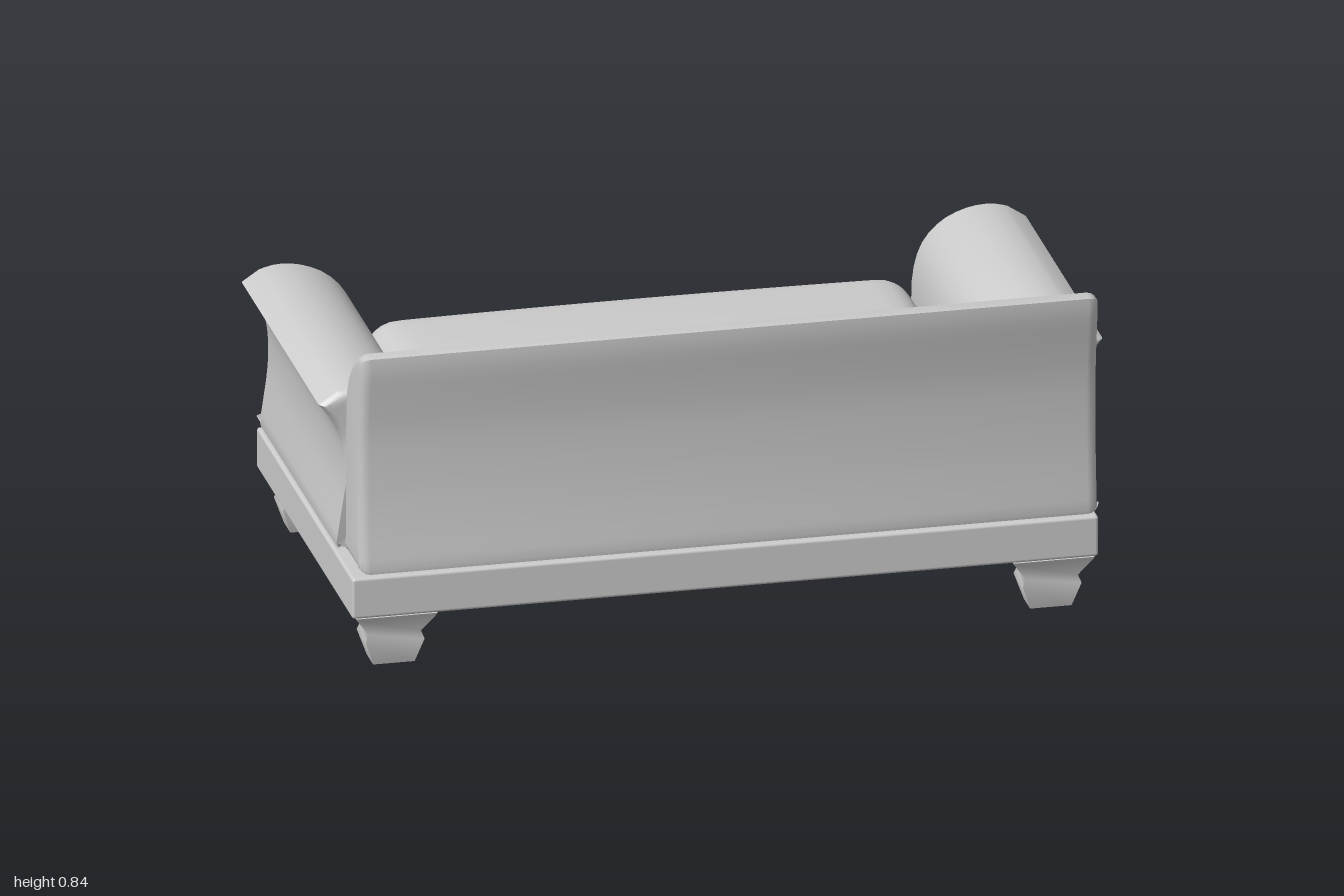
import * as THREE from 'three';
import { mergeVertices, toCreasedNormals } from 'three/addons/utils/BufferGeometryUtils.js';
import { RoundedBoxGeometry } from 'three/addons/geometries/RoundedBoxGeometry.js';

const material = new THREE.MeshStandardMaterial({ color: 0xcccccc });
const CENTRE = -0.008;

function add(parent, name, geometry) {
  const mesh = new THREE.Mesh(geometry, material);
  mesh.name = name;
  parent.add(mesh);
  return mesh;
}

// Scrolled upholstery: two smooth curves meeting at a flared lip, extruded with soft ends
function scroll(inner, outer, from, to, bevel, flip = 1) {
  const curve = (pts) => new THREE.SplineCurve(pts.map(([x, y]) => new THREE.Vector2(x * flip, y))).getPoints(20);
  const shape = new THREE.Shape([...curve(inner), ...curve(outer)]);
  const geometry = new THREE.ExtrudeGeometry(shape, {
    depth: to - from - 2 * bevel, bevelEnabled: true, bevelThickness: bevel,
    bevelSize: bevel, bevelOffset: -bevel, bevelSegments: 4, steps: 1,
  });
  geometry.translate(0, 0, from + bevel);
  return toCreasedNormals(geometry, 1.0);
}

// Plump cushion: box grid dense at its edges, rounded off and slightly crowned
function cushion(w, h, d, radius, crown) {
  const geometry = new THREE.BoxGeometry(2, 2, 2, 28, 16, 28);
  geometry.deleteAttribute('normal');
  geometry.deleteAttribute('uv');
  const welded = mergeVertices(geometry);
  const pos = welded.attributes.position;
  const half = new THREE.Vector3(w / 2, h / 2, d / 2);
  const core = half.clone().subScalar(radius);
  const p = new THREE.Vector3();
  const inside = new THREE.Vector3();
  for (let i = 0; i < pos.count; i++) {
    p.fromBufferAttribute(pos, i);
    p.set(...p.toArray().map((v) => Math.sin(v * Math.PI / 2))).multiply(half);
    inside.copy(p).clamp(core.clone().negate(), core);
    p.sub(inside).setLength(radius).add(inside);
    const u = p.x / half.x, v = p.z / half.z;
    if (p.y > 0) p.y += crown * (1 - u * u) * (1 - v * v) * p.y / half.y;
    pos.setXYZ(i, p.x, p.y, p.z);
  }
  welded.computeVertexNormals();
  return welded;
}

export function createModel() {
  const sofa = new THREE.Group();
  sofa.name = 'sofa';

  // Base frame
  add(sofa, 'baseFrame', new RoundedBoxGeometry(1.904, 0.108, 1.06, 3, 0.008))
    .position.set(CENTRE, 0.192, -0.002);

  // Tapered four-sided feet with a waist
  const profile = [[0, 0], [0.053, 0], [0.075, 0.064], [0.067, 0.084], [0.102, 0.134], [0.104, 0.138], [0, 0.138]]
    .map(([r, y]) => new THREE.Vector2(r * Math.SQRT2, y));
  for (const sx of [-1, 1]) {
    for (const sz of [-1, 1]) {
      const foot = new THREE.LatheGeometry(profile, 4, Math.PI / 4);
      foot.scale(1, 1, 0.68);
      add(sofa, `${sz > 0 ? 'rear' : 'front'}Foot${sx > 0 ? 'Left' : 'Right'}`, toCreasedNormals(foot, 1.1))
        .position.set(CENTRE + sx * 0.838, 0, sz * 0.457);
    }
  }

  // Backrest, its lip flaring outwards
  const back = scroll(
    [[0.364, 0.255], [0.354, 0.275], [0.354, 0.45], [0.356, 0.62], [0.372, 0.71], [0.415, 0.775], [0.465, 0.817], [0.512, 0.84]],
    [[0.543, 0.835], [0.542, 0.79], [0.529, 0.7], [0.519, 0.6], [0.519, 0.46], [0.526, 0.35], [0.534, 0.265], [0.526, 0.255]],
    -0.944, 0.942, 0.028);
  back.rotateY(-Math.PI / 2);
  add(sofa, 'backrest', back);

  // Mirrored arms with flared lips
  for (const side of [-1, 1]) {
    add(sofa, side > 0 ? 'armLeft' : 'armRight', scroll(
      [[0.72, 0.255], [0.711, 0.28], [0.708, 0.4], [0.711, 0.51], [0.735, 0.59], [0.785, 0.645], [0.85, 0.674], [0.91, 0.68], [0.955, 0.67]],
      [[1.0, 0.64], [0.966, 0.595], [0.944, 0.55], [0.934, 0.49], [0.935, 0.4], [0.953, 0.265], [0.945, 0.255]],
      -0.54, 0.345, 0.022, side));
  }

  // Seat cushion
  add(sofa, 'seatCushion', cushion(1.404, 0.272, 0.892, 0.092, 0.02))
    .position.set(0, 0.386, -0.099);

  return sofa;
}
